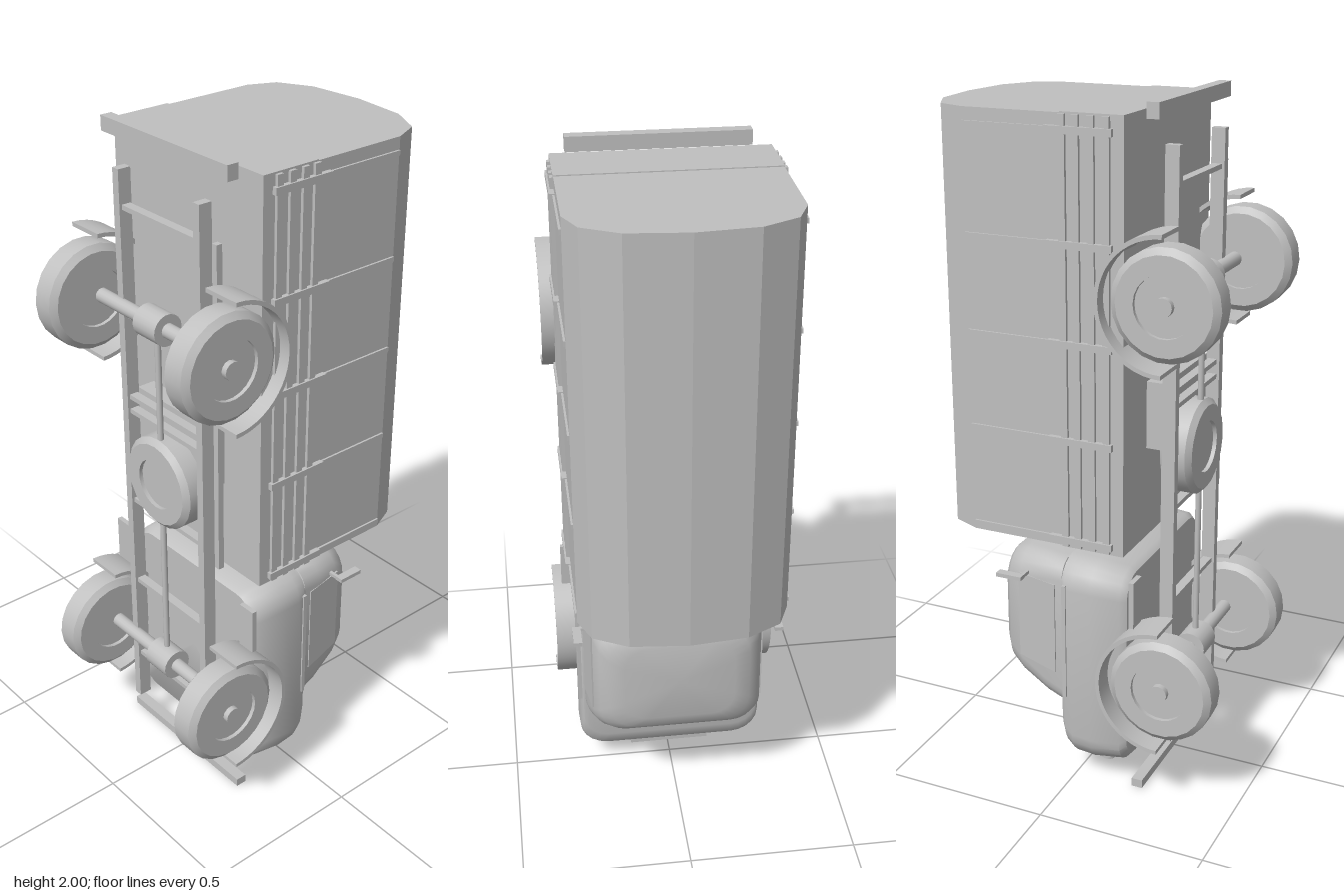
import * as THREE from 'three';
import { toCreasedNormals } from 'three/addons/utils/BufferGeometryUtils.js';

// The truck stands on its nose: +y is its tail, -z its roof, +z its underside.
const paint = new THREE.MeshStandardMaterial({ color: 0xc0c0c0 });
paint.name = 'light grey';

export function createModel() {
  const truck = new THREE.Group();
  truck.name = 'truck';

  const add = (name, geometry, x = 0, y = 0, z = 0) => {
    const mesh = new THREE.Mesh(geometry, paint);
    mesh.name = name;
    mesh.position.set(x, y, z);
    truck.add(mesh);
    return mesh;
  };
  // box given by its limits on each axis
  const box = (name, x0, x1, y0, y1, z0, z1) =>
    add(name, new THREE.BoxGeometry(x1 - x0, y1 - y0, z1 - z0), (x0 + x1) / 2, (y0 + y1) / 2, (z0 + z1) / 2);
  // the same box on both sides
  const pair = (name, x0, x1, ...rest) => {
    box(name, x0, x1, ...rest);
    box(name, -x1, -x0, ...rest);
  };
  const rodX = (name, r, length, x, y, z, sides = 16) =>
    add(name, new THREE.CylinderGeometry(r, r, length, sides).rotateZ(Math.PI / 2), x, y, z);
  // extrude an outline drawn in (x, -z) along the truck's length
  const alongY = (shape, y0, y1) =>
    new THREE.ExtrudeGeometry(shape, { depth: y1 - y0, bevelEnabled: false })
      .rotateX(-Math.PI / 2).translate(0, y0, 0);

  // cargo bed and arched canopy
  box('cargoBed', -0.302, 0.302, 0.765, 1.97, -0.01, 0.17);
  const arch = [[0.301, 0.01], [0.301, 0.298], [0.266, 0.378], [0.167, 0.43], [0, 0.446],
    [-0.167, 0.43], [-0.266, 0.378], [-0.301, 0.298], [-0.301, 0.01]];
  const canopy = new THREE.Shape(arch.map(([x, h]) => new THREE.Vector2(x, h)));
  add('canopy', alongY(canopy, 0.768, 1.967));

  // side stakes, canopy ribs and slats
  for (const y of [0.79, 1.085, 1.36, 1.63, 1.925]) {
    pair('stake', 0.3, 0.316, y - 0.01, y + 0.01, -0.05, 0.14);
    pair('canopyRib', 0.3, 0.307, y - 0.007, y + 0.007, -0.295, -0.05);
  }
  for (const z of [0.122, 0.079, 0.036, -0.003])
    pair('sideSlat', 0.3, 0.311, 0.77, 1.965, z - 0.01, z + 0.01);

  // chassis
  pair('chassisRail', 0.154, 0.179, 0.13, 1.885, 0.23, 0.27);
  for (const y of [0.3, 0.58, 0.87, 1.17, 1.215, 1.47, 1.78])
    box('crossMember', -0.157, 0.157, y - 0.007, y + 0.007, 0.235, 0.262);
  box('underBedBox', -0.157, 0.157, 1.04, 1.235, 0.175, 0.23);
  box('exhaustPipe', 0.208, 0.226, 0.82, 1.79, 0.236, 0.254);
  add('driveShaft', new THREE.CylinderGeometry(0.009, 0.009, 1.12, 10), 0, 0.94, 0.274);
  box('rearBumper', -0.257, 0.257, 1.958, 2, 0.21, 0.245);
  box('frontBumper', -0.257, 0.257, 0, 0.026, 0.18, 0.213);

  // wheels: tyre with bevelled shoulders and a recessed disc
  const wheelGeometry = (r, w, rim) => toCreasedNormals(new THREE.LatheGeometry([
    [0, -w * 0.75], [rim, -w * 0.75], [rim, -w], [r * 0.88, -w], [r, -w * 0.68],
    [r, w * 0.68], [r * 0.88, w], [rim, w], [rim, w * 0.75], [0, w * 0.75],
  ].map(([x, y]) => new THREE.Vector2(x, y)), 22), 0.5);
  const tyre = wheelGeometry(0.154, 0.047, 0.085).rotateZ(Math.PI / 2);
  add('spareWheel', wheelGeometry(0.14, 0.048, 0.075).rotateX(Math.PI / 2), 0, 1.01, 0.25);

  // half-ring mudguard, drawn in (z, y) and extruded across the wheel
  const ring = new THREE.Shape();
  ring.absarc(0, 0, 0.19, Math.PI / 2, Math.PI * 1.5, false);
  ring.absarc(0, 0, 0.178, Math.PI * 1.5, Math.PI / 2, true);
  const guard = toCreasedNormals(new THREE.ExtrudeGeometry(ring, { depth: 0.118, bevelEnabled: false, curveSegments: 12 })
    .translate(0, 0, -0.059).rotateY(-Math.PI / 2).scale(1, 1, 1), 0.6);

  for (const y of [0.38, 1.5]) {
    rodX('axle', 0.021, 0.5, 0, y, 0.274);
    rodX('differential', 0.046, 0.094, 0, y, 0.274, 18);
    for (const s of [-1, 1]) {
      add('wheel', tyre, s * 0.285, y, 0.293);
      rodX('hub', 0.026, 0.05, s * 0.312, y, 0.293, 12);
      add('mudguard', guard, s * 0.288, y, 0.293);
    }
  }

  // cab: rounded rectangles stacked from floor to roof
  // [z, half width, nose y, back y, corner radius]
  const sections = [
    [0.168, 0.27, 0.09, 0.68, 0.07], [0.15, 0.284, 0.07, 0.694, 0.08], [0.06, 0.29, 0.056, 0.702, 0.085],
    [0.0, 0.288, 0.06, 0.702, 0.085], [-0.025, 0.283, 0.08, 0.7, 0.085], [-0.036, 0.277, 0.12, 0.698, 0.08],
    [-0.037, 0.272, 0.22, 0.696, 0.06], [-0.1, 0.268, 0.24, 0.696, 0.065], [-0.18, 0.256, 0.275, 0.69, 0.075],
    [-0.225, 0.238, 0.3, 0.676, 0.08], [-0.248, 0.21, 0.325, 0.655, 0.08], [-0.258, 0.165, 0.36, 0.62, 0.07],
  ];
  const steps = 5, n = 4 * (steps + 1), points = [], faces = [];
  for (const [z, hw, y0, y1, r] of sections) {
    const corners = [[hw - r, y1 - r], [r - hw, y1 - r], [r - hw, y0 + r], [hw - r, y0 + r]];
    corners.forEach(([cx, cy], q) => {
      for (let k = 0; k <= steps; k++) {
        const a = (q + k / steps) * Math.PI / 2;
        points.push(cx + r * Math.cos(a), cy + r * Math.sin(a), z);
      }
    });
  }
  const last = sections.length - 1, mid = points.length / 3;
  points.push(0, 0.38, sections[0][0], 0, 0.49, sections[last][0]);
  for (let j = 0; j < n; j++) {
    const k = (j + 1) % n;
    for (let i = 0; i < last; i++) {
      const a = i * n + j, b = i * n + k;
      faces.push(a, a + n, b, b, a + n, b + n);
    }
    faces.push(mid, j, k, mid + 1, last * n + k, last * n + j);
  }
  const cab = new THREE.BufferGeometry();
  cab.setAttribute('position', new THREE.Float32BufferAttribute(points, 3));
  cab.setIndex(faces);
  add('cab', toCreasedNormals(cab, 0.75));

  // windscreen lying on the sloping front of the cab
  const screen = add('windscreen', new THREE.BoxGeometry(0.36, 0.008, 0.125), 0, 0.25, -0.122);
  screen.rotation.x = 0.42;

  // side windows
  const pane = new THREE.Shape([[0.06, 0.335], [0.06, 0.62], [0.185, 0.63], [0.185, 0.36]]
    .map(([h, y]) => new THREE.Vector2(h, y)));
  const paneGeometry = new THREE.ExtrudeGeometry(pane, { depth: 0.008, bevelEnabled: false })
    .translate(0, 0, -0.004).rotateY(Math.PI / 2);
  for (const s of [-1, 1]) {
    const win = add('sideWindow', paneGeometry, s * 0.277, 0, 0);
    win.rotation.y = s * 0.12;
  }

  // door trim, mirrors, steps, lamps and grille
  pair('doorTrim', 0.278, 0.289, 0.27, 0.63, -0.03, -0.018);
  pair('mirrorArm', 0.25, 0.3, 0.632, 0.642, -0.16, -0.15);
  pair('mirror', 0.285, 0.31, 0.63, 0.642, -0.23, -0.15);
  pair('sideStep', 0.264, 0.32, 0.56, 0.7, 0.195, 0.21);
  for (const s of [-1, 1])
    add('headlamp', new THREE.CylinderGeometry(0.022, 0.022, 0.03, 14), s * 0.2, 0.06, 0.08);
  box('grille', -0.125, 0.125, 0.04, 0.07, 0.005, 0.11);

  return truck;
}
